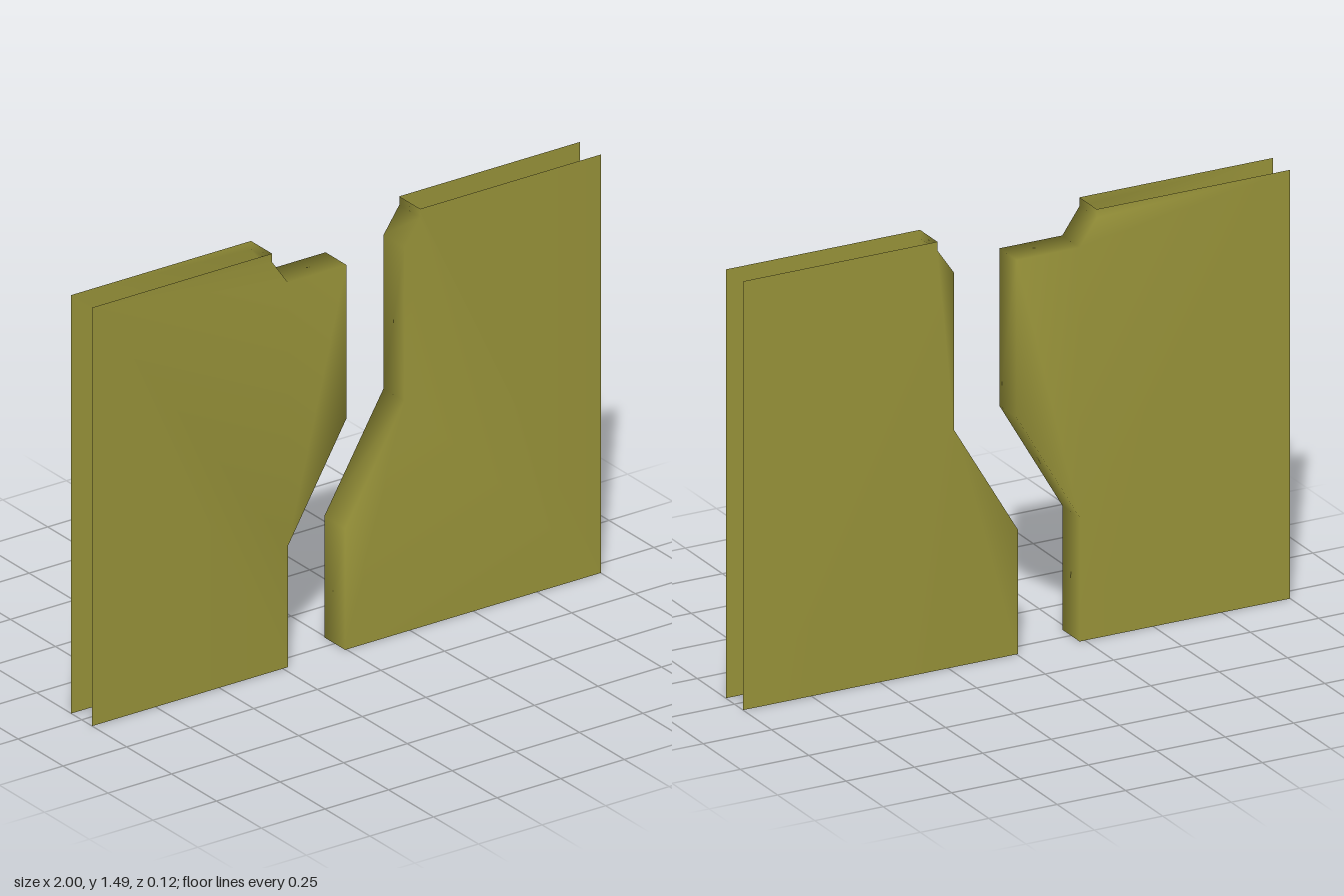
import * as THREE from 'three';

const TOP = 1.485;
const HALF_DEPTH = 0.058;

// Hollow slab: front and back panels joined only along the profiled inner edge.
// The contour (inner edge, then the two outer corners) runs counter-clockwise.
function hollowPanel(name, inner, outer, material) {
  const contour = [...inner, ...outer].map(([x, y]) => new THREE.Vector2(x, y));
  const n = contour.length;
  const positions = [];
  for (const z of [HALF_DEPTH, -HALF_DEPTH]) {
    for (const p of contour) positions.push(p.x, p.y, z);
  }

  const index = [];
  for (const [a, b, c] of THREE.ShapeUtils.triangulateShape(contour, [])) {
    index.push(a, b, c, n + a, n + c, n + b);
  }
  // Wall along the inner edge; top, bottom and outer side stay open
  for (let i = 0; i < inner.length - 1; i++) {
    index.push(i, n + i, n + i + 1, i, n + i + 1, i + 1);
  }

  const geometry = new THREE.BufferGeometry();
  geometry.setAttribute('position', new THREE.Float32BufferAttribute(positions, 3));
  geometry.setIndex(index);
  geometry.computeVertexNormals(); // shared corners give soft shading
  const mesh = new THREE.Mesh(geometry, material);
  mesh.name = name;
  return mesh;
}

export function createModel() {
  const group = new THREE.Group();
  group.name = 'splitPanels';
  const olive = new THREE.MeshStandardMaterial({ color: 0x99943a, side: THREE.DoubleSide });

  // Right panel, with the ledge near its top; inner edge from bottom to top
  group.add(hollowPanel('rightPanel', [
    [-0.23, 0], [-0.23, 0.43], [0, 0.82], [0, 1.365],
    [-0.23, 1.365], [-0.293, 1.455], [-0.293, TOP],
  ], [[-1, TOP], [-1, 0]], olive));

  // Left panel, following the gap; inner edge from top to bottom
  group.add(hollowPanel('leftPanel', [
    [0.29, TOP], [0.29, 1.455], [0.228, 1.365],
    [0.228, 0.82], [-0.005, 0.43], [-0.005, 0],
  ], [[1, 0], [1, TOP]], olive));

  return group;
}
